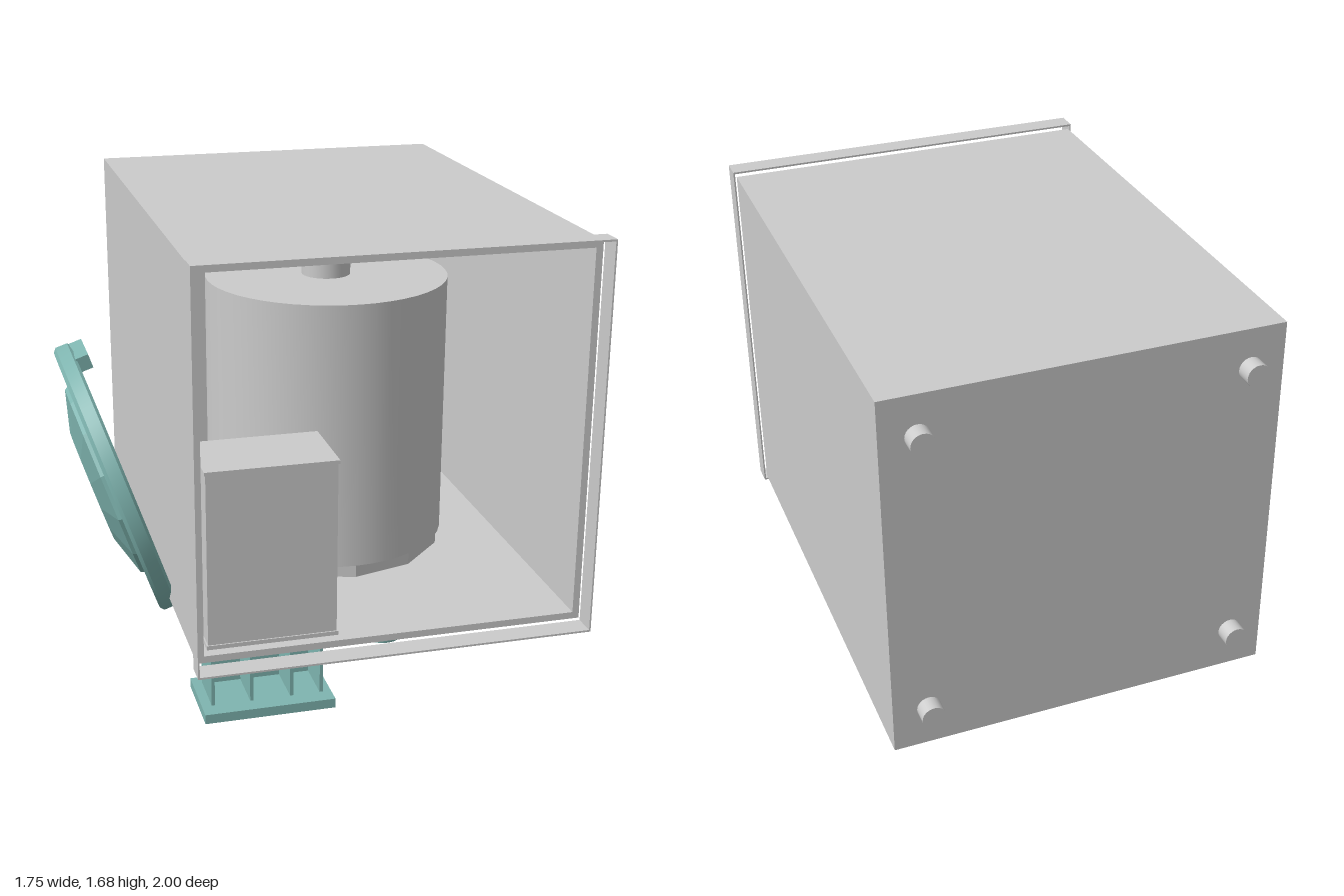
import * as THREE from 'three';
import { toCreasedNormals } from 'three/addons/utils/BufferGeometryUtils.js';

const grey = new THREE.MeshStandardMaterial({ color: 0xcccccc, side: THREE.DoubleSide });
const greyFlat = new THREE.MeshStandardMaterial({ color: 0xcccccc, side: THREE.DoubleSide, flatShading: true });
const teal = new THREE.MeshStandardMaterial({ color: 0x7fb5b0, side: THREE.DoubleSide });
const tealFlat = new THREE.MeshStandardMaterial({ color: 0x7fb5b0, side: THREE.DoubleSide, flatShading: true });

function add(parent, name, geometry, material) {
  const mesh = new THREE.Mesh(geometry, material);
  mesh.name = name;
  parent.add(mesh);
  return mesh;
}

// Box given by its minimum and maximum on each axis
function box(parent, name, x0, x1, y0, y1, z0, z1, material = grey) {
  const g = new THREE.BoxGeometry(x1 - x0, y1 - y0, z1 - z0);
  g.translate((x0 + x1) / 2, (y0 + y1) / 2, (z0 + z1) / 2);
  return add(parent, name, g, material);
}

function lathe(parent, name, points, sides, material) {
  const g = new THREE.LatheGeometry(points.map(([r, y]) => new THREE.Vector2(r, y)), sides);
  return add(parent, name, toCreasedNormals(g, 0.5), material);
}

function rectangle(Type, x0, x1, y0, y1) {
  const s = new Type();
  s.moveTo(x0, y0);
  s.lineTo(x1, y0);
  s.lineTo(x1, y1);
  s.lineTo(x0, y1);
  s.closePath();
  return s;
}

function createCabinet() {
  const cabinet = new THREE.Group();
  cabinet.name = 'cabinet';
  const L = -0.543, R = 0.865, B = 0.26, T = 1.66, t = 0.025;
  box(cabinet, 'rightWall', L, L + t, B, T, -0.94, 0.92);
  box(cabinet, 'leftWall', R - t, R, B, T, -0.94, 0.92);
  box(cabinet, 'topWall', L + t, R - t, T - t, T, -0.94, 0.92);
  box(cabinet, 'backWall', L + t, R - t, B + t, T - t, -0.94, -0.915);

  // Underside panel with openings for drum, drawer and filter
  const panel = rectangle(THREE.Shape, L + t, R - t, -0.94, 0.92);
  const opening = new THREE.Path();
  opening.absarc(0.163, 0, 0.41, 0, Math.PI * 2, true);
  panel.holes.push(opening,
    rectangle(THREE.Path, -0.49, -0.065, 0.67, 0.86),
    rectangle(THREE.Path, 0.53, 0.76, -0.87, -0.66));
  const g = new THREE.ExtrudeGeometry(panel, { depth: t, bevelEnabled: false, curveSegments: 24 });
  g.rotateX(Math.PI / 2).translate(0, B + t, 0);
  add(cabinet, 'underPanel', g, grey);

  // Thin rim around the open front
  const rim = rectangle(THREE.Shape, -0.555, 0.877, 0.242, 1.68);
  rim.holes.push(rectangle(THREE.Path, -0.549, 0.871, 0.249, 1.673));
  const rimG = new THREE.ExtrudeGeometry(rim, { depth: 0.082, bevelEnabled: false });
  rimG.translate(0, 0, 0.918);
  add(cabinet, 'rim', rimG, grey);

  for (const x of [-0.42, 0.735]) for (const y of [0.415, 1.51]) {
    const foot = add(cabinet, 'foot', new THREE.CylinderGeometry(0.043, 0.043, 0.065, 24), grey);
    foot.rotation.x = Math.PI / 2;
    foot.position.set(x, y, -0.9675);
  }
  return cabinet;
}

function createDrum() {
  const drum = new THREE.Group();
  drum.name = 'drum';
  lathe(drum, 'tub', [[0.40, 0.34], [0.463, 0.34], [0.463, 1.36], [0, 1.36]], 48, grey);
  lathe(drum, 'tubLining', [[0.40, 0.34], [0.44, 0.36], [0.44, 1.34], [0, 1.34]], 48, grey);
  lathe(drum, 'shaft', [[0.093, 1.36], [0.093, 1.636]], 32, grey);
  // Faceted seal between the tub and the underside opening
  lathe(drum, 'seal', [[0.47, 0.262], [0.47, 0.243], [0.41, 0.243], [0.365, 0.285],
    [0.385, 0.36], [0.455, 0.36], [0.455, 0.29], [0.41, 0.27]], 12, greyFlat);
  drum.position.x = 0.163;
  return drum;
}

function createDoor() {
  const door = new THREE.Group();
  door.name = 'door';
  // Local y runs along the door axis towards the bowl
  lathe(door, 'doorRing', [[0.40, -0.02], [0.43, -0.035], [0.535, -0.035], [0.545, -0.025],
    [0.545, 0.022], [0.53, 0.035], [0.44, 0.035], [0.42, 0.02], [0.40, 0.02], [0.40, -0.02]], 48, teal);
  lathe(door, 'doorBowl', [[0.41, 0.0], [0.385, 0.05], [0.225, 0.095]], 14, tealFlat);
  box(door, 'doorLatch', 0.48, 0.535, -0.08, -0.03, -0.1, 0.1, teal);
  box(door, 'doorTab', -0.552, -0.51, -0.04, 0.03, -0.058, 0.058, teal);
  door.rotation.z = 1.9;
  door.position.set(-0.673, 0.604, 0);
  return door;
}

function createHinges() {
  const hinges = new THREE.Group();
  hinges.name = 'doorHinges';
  for (const s of [-1, 1]) {
    const z = s * 0.18;
    box(hinges, 'hingeArm', -0.50, -0.44, 0.18, 0.26, z - 0.012, z + 0.012, teal);
    box(hinges, 'hingePlate', -0.51, -0.40, 0.245, 0.26, z - 0.035, z + 0.035, grey);
  }
  box(hinges, 'hingePin', -0.495, -0.475, 0.185, 0.2, -0.19, 0.19, teal);
  return hinges;
}

function createDispenser() {
  const dispenser = new THREE.Group();
  dispenser.name = 'dispenser';
  box(dispenser, 'dispenserHousing', -0.505, -0.05, 0.325, 0.955, 0.65, 0.93);
  box(dispenser, 'housingTopEdge', -0.51, -0.045, 0.952, 0.965, 0.645, 0.935);
  box(dispenser, 'housingBottomEdge', -0.51, -0.045, 0.315, 0.33, 0.645, 0.935);

  // Pulled-out drawer with open compartments
  box(dispenser, 'drawerBack', -0.48, -0.075, 0.05, 0.32, 0.675, 0.69, teal);
  for (const x of [-0.48, -0.341, -0.196, -0.087])
    box(dispenser, 'drawerDivider', x, x + 0.012, 0.05, 0.32, 0.68, 0.85, teal);
  box(dispenser, 'drawerFront', -0.515, -0.045, 0.015, 0.05, 0.64, 0.91, teal);
  box(dispenser, 'drawerGrip', -0.405, -0.155, 0, 0.016, 0.69, 0.705, teal);
  return dispenser;
}

function createControls() {
  const controls = new THREE.Group();
  controls.name = 'controls';
  const knob = add(controls, 'knob', new THREE.CylinderGeometry(0.078, 0.072, 0.052, 32), teal);
  knob.position.set(0.165, 0.235, 0.77);
  box(controls, 'display', 0.5, 0.8, 0.252, 0.262, 0.72, 0.84);
  for (const x of [0.56, 0.65, 0.74])
    box(controls, 'button', x - 0.025, x + 0.025, 0.246, 0.256, 0.76, 0.8);
  return controls;
}

function createFilter() {
  const filter = new THREE.Group();
  filter.name = 'filter';
  // Housing open at the underside
  box(filter, 'filterTop', 0.51, 0.78, 0.4, 0.415, -0.89, -0.64);
  for (const x of [0.51, 0.765]) box(filter, 'filterSide', x, x + 0.015, 0.25, 0.4, -0.89, -0.64);
  for (const z of [-0.89, -0.655]) box(filter, 'filterEnd', 0.525, 0.765, 0.25, 0.4, z, z + 0.015);

  // Hinged flap hanging open
  const flap = new THREE.Group();
  flap.name = 'filterFlap';
  box(flap, 'flapPanel', 0.522, 0.77, -0.01, 0.01, 0, 0.225, teal);
  flap.position.set(0, 0.24, -0.873);
  flap.rotation.x = Math.PI / 4;
  filter.add(flap);
  for (const x of [0.56, 0.73]) box(filter, 'flapHinge', x - 0.02, x + 0.02, 0.235, 0.262, -0.885, -0.86, grey);
  return filter;
}

export function createModel() {
  const model = new THREE.Group();
  model.name = 'washingMachine';
  model.add(createCabinet(), createDrum(), createDoor(), createHinges(),
    createDispenser(), createControls(), createFilter());
  return model;
}
